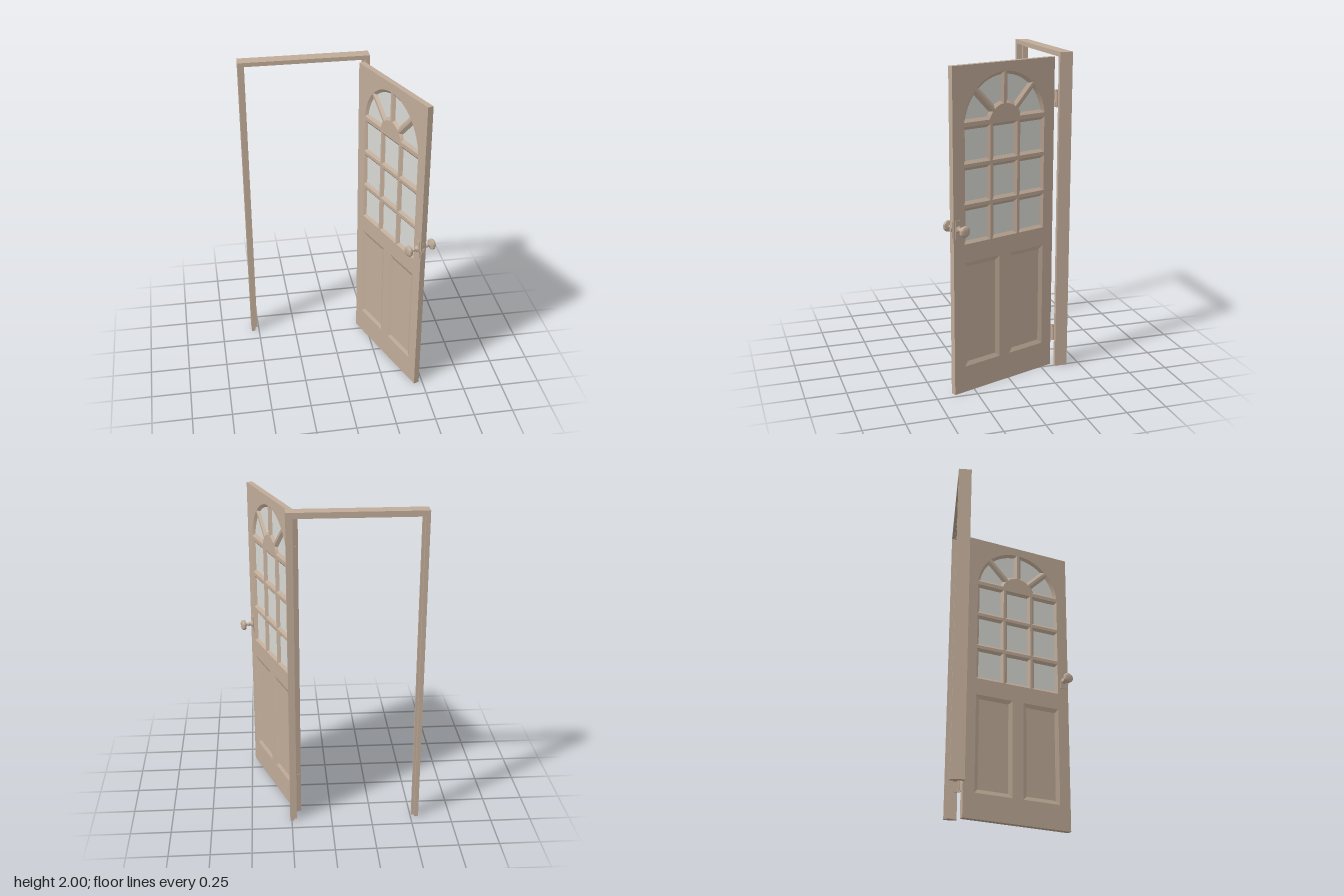
import * as THREE from 'three';
import { toCreasedNormals } from 'three/addons/utils/BufferGeometryUtils.js';

const W = 0.75, H = 1.97, T = 0.036, F = T / 2;
const CX = W / 2;

const wood = new THREE.MeshStandardMaterial({ color: 0xc0ab98 });
wood.name = 'wood';
const glass = new THREE.MeshStandardMaterial({ color: 0xd8d8d4 });
glass.name = 'glass';

function add(parent, name, geometry, material = wood, x = 0, y = 0, z = 0) {
  const mesh = new THREE.Mesh(geometry, material);
  mesh.name = name;
  mesh.position.set(x, y, z);
  parent.add(mesh);
  return mesh;
}

const box = (w, h, d) => new THREE.BoxGeometry(w, h, d);
const P = (x, y) => new THREE.Vector2(x, y);
const rect = (x0, x1, y0, y1) => [P(x0, y0), P(x1, y0), P(x1, y1), P(x0, y1)];

// Shrinks a counter-clockwise outline by d with mitred corners
function inset(pts, d) {
  const n = pts.length;
  return pts.map((p, i) => {
    const a = p.clone().sub(pts[(i + n - 1) % n]).normalize();
    const b = pts[(i + 1) % n].clone().sub(p).normalize();
    const na = P(-a.y, a.x), nb = P(-b.y, b.x);
    const m = na.clone().add(nb);
    return p.clone().addScaledVector(m, d / (1 + na.dot(nb)));
  });
}

// One fanlight opening between two bars, each given by angle and half width
function sector(cx, cy, r0, r1, a0, g0, a1, g1) {
  const arc = (r, n) => {
    const s = a0 + Math.asin(g0 / r), e = a1 - Math.asin(g1 / r);
    return Array.from({ length: n + 1 }, (_, i) => {
      const a = s + (e - s) * i / n;
      return P(cx + r * Math.cos(a), cy + r * Math.sin(a));
    });
  };
  return [...arc(r1, 8), ...arc(r0, 5).reverse()];
}

// Sloped band from an outline at z0 down to its inset at z1, facing +z
function bevel(pts, d, z0, z1) {
  const inner = inset(pts, d), pos = [];
  pts.forEach((p, i) => {
    const j = (i + 1) % pts.length;
    const A = [p.x, p.y, z0], B = [pts[j].x, pts[j].y, z0];
    const C = [inner[j].x, inner[j].y, z1], D = [inner[i].x, inner[i].y, z1];
    pos.push(...A, ...B, ...C, ...A, ...C, ...D);
  });
  const g = new THREE.BufferGeometry();
  g.setAttribute('position', new THREE.Float32BufferAttribute(pos, 3));
  g.computeVertexNormals();
  return g;
}

// Fills an opening on both faces of the door with a bevel and a sunken panel
function fillOpening(door, name, pts, d, depth, material) {
  for (const back of [false, true]) {
    const side = new THREE.Group();
    side.name = name + (back ? 'Back' : 'Front');
    // the back is the mirrored outline turned half round
    const outline = back ? pts.map(p => P(-p.x, p.y)).reverse() : pts;
    if (back) side.rotation.y = Math.PI;
    add(side, name + 'Bevel', bevel(outline, d, F, F - depth));
    add(side, name + 'Panel', new THREE.ShapeGeometry(new THREE.Shape(inset(outline, d))),
      material, 0, 0, F - depth);
    door.add(side);
  }
}

function buildDoor() {
  const door = new THREE.Group();
  door.name = 'door';

  // Openings: three rows of panes, an arched fanlight, two lower panels
  const panes = [], panels = [];
  for (const [y0, y1] of [[0.93, 1.146], [1.167, 1.385], [1.405, 1.62]])
    for (const [x0, x1] of [[-0.299, -0.107], [-0.093, 0.093], [0.107, 0.299]])
      panes.push(rect(CX + x0, CX + x1, y0, y1));
  for (let i = 0; i < 4; i++)
    panes.push(sector(CX, 1.615, 0.115, 0.3, i * Math.PI / 4, i === 0 ? 0.03 : 0.008,
      (i + 1) * Math.PI / 4, i === 3 ? 0.03 : 0.008));
  for (const [x0, x1] of [[-0.299, -0.039], [0.039, 0.299]])
    panels.push(rect(CX + x0, CX + x1, 0.165, 0.817));

  const slab = new THREE.Shape(rect(0, W, 0, H));
  for (const o of [...panes, ...panels]) slab.holes.push(new THREE.Path(o));
  add(door, 'doorSlab', new THREE.ExtrudeGeometry(slab, { depth: T, bevelEnabled: false }),
    wood, 0, 0, -F);
  panes.forEach(o => fillOpening(door, 'window', o, 0.018, 0.014, glass));
  panels.forEach(o => fillOpening(door, 'lowerPanel', o, 0.026, 0.01, wood));

  // Knobs with their plates on both faces
  const profile = [[0.021, 0.02], [0.021, 0.026], [0.014, 0.03], [0.01, 0.04], [0.013, 0.049],
    [0.008, 0.056], [0.009, 0.066], [0.018, 0.07], [0.032, 0.073], [0.034, 0.078],
    [0.034, 0.087], [0.029, 0.093], [0.015, 0.096], [0, 0.0965]].map(p => P(...p));
  const knobShape = toCreasedNormals(new THREE.LatheGeometry(profile, 24), 0.7);
  for (const s of [1, -1]) {
    const knob = add(door, 'knob', knobShape, wood, 0.717, 1.03, 0);
    knob.rotation.x = s * Math.PI / 2;
    add(door, 'knobPlate', box(0.046, 0.11, 0.004), wood, 0.717, 1.03, s * (F + 0.002));
  }

  // Latch on the free edge
  add(door, 'latchPlate', box(0.002, 0.1, 0.022), wood, W + 0.001, 1.03, 0);
  add(door, 'latchBolt', box(0.012, 0.022, 0.012), wood, W + 0.005, 1.03, 0);

  // Hinge leaves on the hinge edge
  for (const y of [0.222, 1.722])
    add(door, 'doorHingeLeaf', box(0.003, 0.105, 0.046), wood, -0.0015, y, -0.009);

  door.position.set(0.204, 0, -0.315);
  door.rotation.y = -70 * Math.PI / 180;
  return door;
}

function buildFrame() {
  const frame = new THREE.Group();
  frame.name = 'doorFrame';
  // Upside-down U, from outer offset a to inner offset b
  const arch = (a, b, depth) => {
    const x0 = -0.55, x1 = 0.26, y1 = 2;
    const s = new THREE.Shape([P(x0 + a, 0), P(x0 + b, 0), P(x0 + b, y1 - b), P(x1 - b, y1 - b),
      P(x1 - b, 0), P(x1 - a, 0), P(x1 - a, y1 - a), P(x0 + a, y1 - a)]);
    return new THREE.ExtrudeGeometry(s, { depth, bevelEnabled: false });
  };
  add(frame, 'jambs', arch(0, 0.026, 0.08), wood, 0, 0, -0.42);
  add(frame, 'doorStop', arch(0.026, 0.041, 0.022), wood, 0, 0, -0.4);

  // Hinge leaves and pins on the jamb
  for (const y of [0.222, 1.722]) {
    add(frame, 'jambHingeLeaf', box(0.003, 0.105, 0.044), wood, 0.2325, y, -0.354);
    add(frame, 'hingePin', new THREE.CylinderGeometry(0.005, 0.005, 0.107, 12), wood,
      0.232, y, -0.333);
  }
  return frame;
}

export function createModel() {
  const model = new THREE.Group();
  model.name = 'openDoorInFrame';
  model.add(buildFrame(), buildDoor());
  return model;
}
